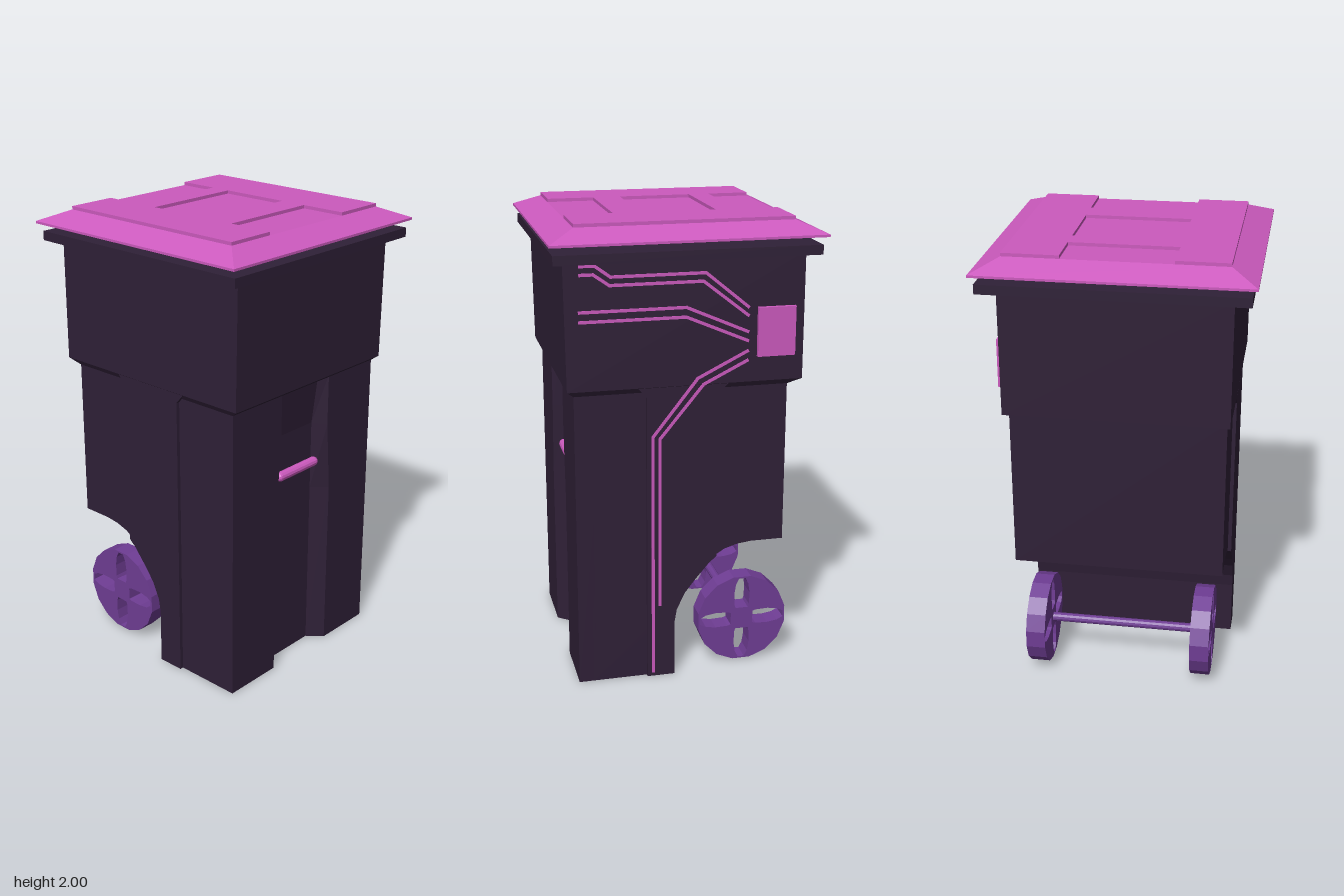
import * as THREE from 'three';

const mat = (color) => new THREE.MeshStandardMaterial({ color, flatShading: true });

// Closed solid through [height, [[x, z], ...]] rings, each counter-clockwise seen from above
function loft(sections) {
  const pos = [];
  const put = (y, p) => pos.push(p[0], y, p[1]);
  for (let s = 0; s < sections.length - 1; s++) {
    const [y0, lo] = sections[s], [y1, hi] = sections[s + 1];
    lo.forEach((a, i) => {
      const j = (i + 1) % lo.length;
      put(y0, a); put(y0, lo[j]); put(y1, hi[j]);
      put(y0, a); put(y1, hi[j]); put(y1, hi[i]);
    });
  }
  const cap = ([y, ring], up) => {
    const flat = ring.map(([x, z]) => new THREE.Vector2(x, -z));
    for (const [a, b, c] of THREE.ShapeUtils.triangulateShape(flat, [])) {
      for (const k of up ? [a, b, c] : [a, c, b]) put(y, ring[k]);
    }
  };
  cap(sections[0], false);
  cap(sections[sections.length - 1], true);
  const g = new THREE.BufferGeometry();
  g.setAttribute('position', new THREE.Float32BufferAttribute(pos, 3));
  g.computeVertexNormals();
  return g;
}

const rect = (hx, front, back) => [[-hx, front], [hx, front], [hx, back], [-hx, back]];

// Side shape drawn in (-z, y), extruded across x and centred
function acrossX(shape, width) {
  const g = new THREE.ExtrudeGeometry(shape, { depth: width, bevelEnabled: false });
  return g.rotateY(Math.PI / 2).translate(-width / 2, 0, 0);
}
const sideShape = (pts) => new THREE.Shape(pts.map(([z, y]) => new THREE.Vector2(-z, y)));

export function createModel() {
  const model = new THREE.Group();
  const dark = mat(0x2f2037), pink = mat(0xcc5abe), purple = mat(0x6f3d94);
  const add = (name, geo, material, parent = model) => {
    const m = new THREE.Mesh(geo, material);
    m.name = name;
    parent.add(m);
    return m;
  };
  const box = (name, x0, x1, y0, y1, z0, z1, material, parent) => {
    const m = add(name, new THREE.BoxGeometry(x1 - x0, y1 - y0, z1 - z0), material, parent);
    m.position.set((x0 + x1) / 2, (y0 + y1) / 2, (z0 + z1) / 2);
    return m;
  };

  // Bin body
  const body = new THREE.Group();
  body.name = 'body';
  body.position.x = -0.003;
  model.add(body);

  // Wheel arch, from the floor up to the rib's rear edge
  const arch = [[0.045, 0], [0.045, 0.25], [0.035, 0.31], [0, 0.385], [-0.05, 0.45],
    [-0.11, 0.52], [-0.14, 0.545]];
  add('lowerBody', acrossX(sideShape([[0.4, 0], ...arch, [-0.18, 0.57], [-0.24, 0.588],
    [-0.3, 0.595], [-0.44, 0.595], [-0.44, 1.32], [0.4, 1.32]]), 0.91), dark, body);
  // Raised ribs on both sides, flaring into the upper body
  add('sideRibs', acrossX(sideShape([[0.165, 0], ...arch, [-0.14, 1.28], [-0.18, 1.32],
    [0.2, 1.32], [0.165, 1.28]]), 0.942), dark, body);

  // Front panel with a tapering central channel
  const channel = (outer, floor) => [[-0.455, 0.465], [-outer, 0.465], [-0.125, floor],
    [0.125, floor], [outer, 0.465], [0.455, 0.465], [0.455, 0.39], [-0.455, 0.39]];
  add('frontPanel', loft([[0, channel(0.18, 0.4)], [0.77, channel(0.18, 0.4)],
    [1.08, channel(0.155, 0.4)], [1.31, channel(0.155, 0.43)]]), dark, body);

  add('upperBody', loft([[1.3, rect(0.458, 0.465, -0.44)], [1.322, rect(0.471, 0.494, -0.5)],
    [1.86, rect(0.471, 0.502, -0.5)]]), dark, body);
  box('rim', -0.541, 0.549, 1.855, 1.895, -0.545, 0.55, dark, body);

  // Front grab bar
  const bar = add('grabBar', new THREE.CapsuleGeometry(0.021, 0.225, 4, 12), pink);
  bar.rotation.z = Math.PI / 2;
  bar.position.set(-0.003, 0.907, 0.425);

  // Lid: sloped plate with raised rails and cross bars
  const lid = new THREE.Group();
  lid.name = 'lid';
  model.add(lid);
  add('lidPlate', loft([[1.928, rect(0.565, 0.565, -0.565)], [1.938, rect(0.565, 0.565, -0.565)],
    [1.986, rect(0.455, 0.452, -0.455)]]), pink, lid);
  box('lidRail', -0.455, -0.235, 1.98, 2, -0.455, 0.452, pink, lid);
  box('lidRail', 0.22, 0.455, 1.98, 2, -0.455, 0.452, pink, lid);
  box('lidCrossBar', -0.235, 0.22, 1.98, 2, -0.275, -0.185, pink, lid);
  box('lidCrossBar', -0.235, 0.22, 1.98, 2, 0.13, 0.25, pink, lid);

  // Square plate and inlaid lines on the left side
  box('sidePlate', 0.46, 0.487, 1.43, 1.637, -0.46, -0.3, pink);
  const traces = [
    [[0.435, 1.835], [0.375, 1.835], [0.31, 1.788], [-0.08, 1.788], [-0.262, 1.638]],
    [[0.435, 1.8], [0.38, 1.8], [0.315, 1.754], [-0.07, 1.754], [-0.262, 1.603]],
    [[0.44, 1.65], [0, 1.65], [-0.262, 1.535]],
    [[0.44, 1.61], [0, 1.61], [-0.262, 1.497]],
    [[-0.262, 1.455], [-0.05, 1.35], [0.14, 1.108], [0.14, 0.02]],
    [[-0.262, 1.415], [-0.075, 1.323], [0.11, 1.098], [0.11, 0.34]],
  ];
  const lines = new THREE.Group();
  lines.name = 'sideLines';
  model.add(lines);
  for (const path of traces) {
    for (let i = 0; i < path.length - 1; i++) {
      const [z0, y0] = path[i], [z1, y1] = path[i + 1];
      const len = Math.hypot(z1 - z0, y1 - y0) + 0.006;
      const m = add('line', new THREE.BoxGeometry(0.012, 0.013, len), pink, lines);
      m.position.set(0.465, (y0 + y1) / 2, (z0 + z1) / 2);
      m.rotation.x = -Math.atan2(y1 - y0, z1 - z0);
    }
  }

  // Wheels: faceted discs with four tapered slots
  const disc = new THREE.Shape(Array.from({ length: 16 }, (_, i) => {
    const a = ((i + 0.5) / 16) * Math.PI * 2;
    return new THREE.Vector2(0.203 * Math.cos(a), 0.203 * Math.sin(a));
  }));
  const slot = [[0.05, -0.028], [0.065, -0.033], [0.12, -0.035], [0.165, -0.028], [0.192, -0.014],
    [0.192, 0.014], [0.165, 0.028], [0.12, 0.035], [0.065, 0.033], [0.05, 0.028]];
  for (let k = 0; k < 4; k++) {
    disc.holes.push(new THREE.Path(slot.map(([r, t]) =>
      new THREE.Vector2(r, t).rotateAround(new THREE.Vector2(), k * Math.PI / 2))));
  }
  const wheelGeo = acrossX(disc, 0.085);
  for (const side of [1, -1]) {
    add(side > 0 ? 'leftWheel' : 'rightWheel', wheelGeo, purple).position.set(side * 0.368, 0.207, -0.277);
  }
  const axle = add('axle', new THREE.CylinderGeometry(0.02, 0.02, 0.7, 12), purple);
  axle.rotation.z = Math.PI / 2;
  axle.position.set(0, 0.207, -0.277);

  return model;
}
